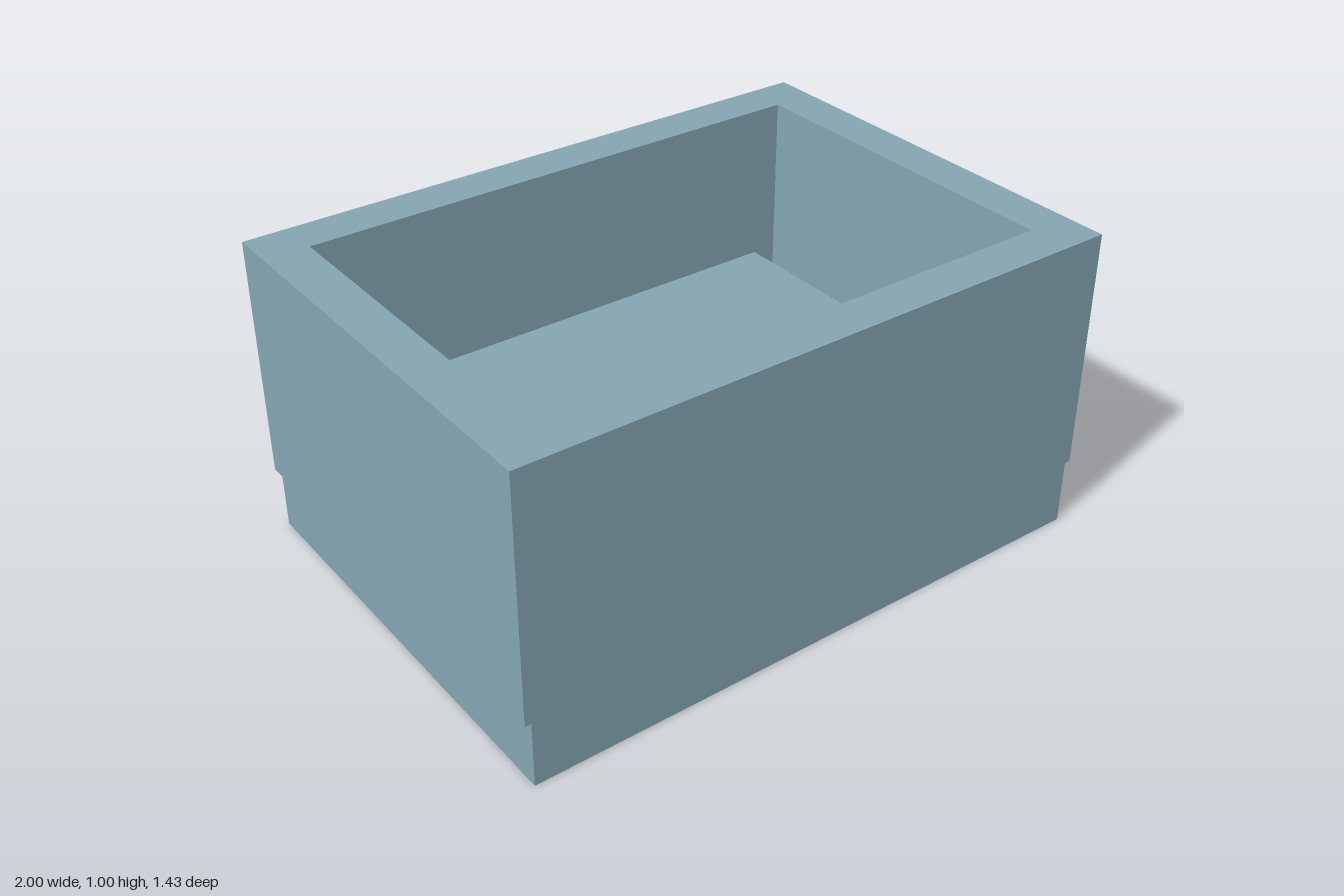
import * as THREE from 'three';

const HALF_X = 1, HALF_Z = 0.714;
const STEP_Y = 0.215, TOP_Y = 1;

function rectangle(PathType, hx, hz) {
  const path = new PathType();
  path.moveTo(-hx, -hz);
  path.lineTo(hx, -hz);
  path.lineTo(hx, hz);
  path.lineTo(-hx, hz);
  path.closePath();
  return path;
}

export function createModel() {
  const group = new THREE.Group();
  group.name = 'openBox';
  const blueGrey = new THREE.MeshStandardMaterial({ color: 0x84a5b2 });
  blueGrey.name = 'blueGrey';

  function add(name, geometry, y) {
    const mesh = new THREE.Mesh(geometry, blueGrey);
    mesh.name = name;
    mesh.position.y = y;
    group.add(mesh);
  }

  // Base slab, slightly narrower at the sides; its top is the inner floor
  add('base', new THREE.BoxGeometry(1.96, STEP_Y, HALF_Z * 2), STEP_Y / 2);

  // Rectangular wall ring with an open top
  const outline = rectangle(THREE.Shape, HALF_X, HALF_Z);
  outline.holes.push(rectangle(THREE.Path, 0.858, 0.574));
  const walls = new THREE.ExtrudeGeometry(outline, { depth: TOP_Y - STEP_Y, bevelEnabled: false });
  walls.rotateX(-Math.PI / 2);
  add('walls', walls, STEP_Y);

  // Raised block standing on the floor inside the walls
  const blockTop = 0.525;
  add('innerBlock', new THREE.BoxGeometry(1.428, blockTop - STEP_Y, 1), (blockTop + STEP_Y) / 2);

  return group;
}
